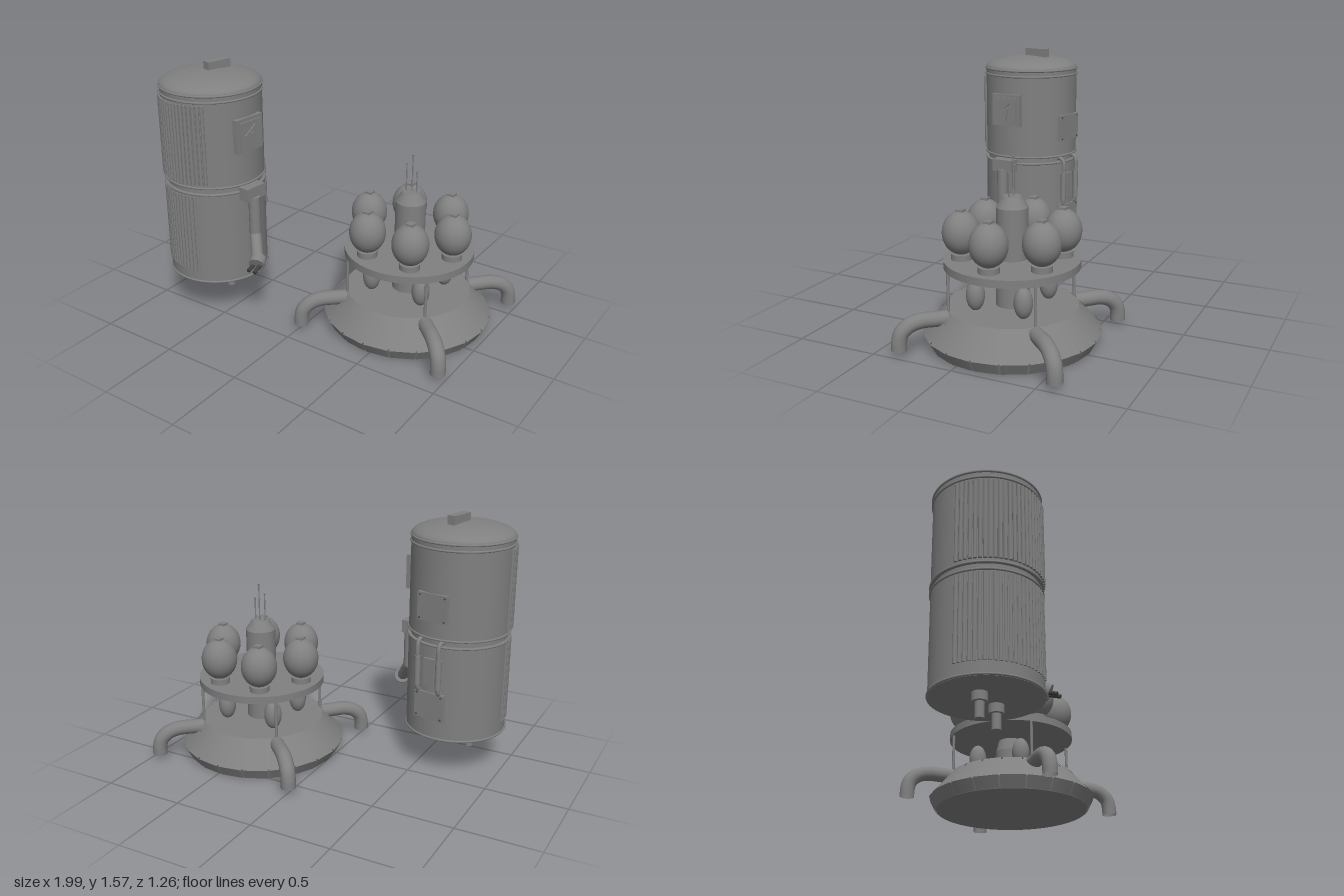
import * as THREE from 'three';

const grey = new THREE.MeshStandardMaterial({ color: 0x808080 });
grey.name = 'grey metal';
const greyOpen = new THREE.MeshStandardMaterial({ color: 0x808080, side: THREE.DoubleSide });
greyOpen.name = 'grey pipe metal';
const dark = new THREE.MeshStandardMaterial({ color: 0x404040 });
dark.name = 'dark metal';

const V = (x, y, z) => new THREE.Vector3(x, y, z);
const rad = THREE.MathUtils.degToRad;

function add(parent, name, geo, pos = [0, 0, 0], mat = grey) {
  const m = new THREE.Mesh(geo, mat);
  m.name = name;
  m.position.set(...pos);
  parent.add(m);
  return m;
}
// Upright cylinder between two heights
const cyl = (p, name, r0, r1, y0, y1, x = 0, z = 0, seg = 32, mat = grey) =>
  add(p, name, new THREE.CylinderGeometry(r1, r0, y1 - y0, seg), [x, (y0 + y1) / 2, z], mat);
const box = (p, name, w, h, d, x, y, z, mat = grey) =>
  add(p, name, new THREE.BoxGeometry(w, h, d), [x, y, z], mat);
// Cylinder between two points
function rod(p, name, a, b, r, mat = grey, seg = 20) {
  const d = b.clone().sub(a);
  const m = add(p, name, new THREE.CylinderGeometry(r, r, d.length(), seg),
    a.clone().add(b).multiplyScalar(0.5).toArray(), mat);
  m.quaternion.setFromUnitVectors(V(0, 1, 0), d.normalize());
  return m;
}
function ring(p, name, r, y, t) {
  add(p, name, new THREE.TorusGeometry(r, t, 8, 64), [0, y, 0]).rotation.x = Math.PI / 2;
}
function pipe(p, name, pts, r) {
  const curve = new THREE.CatmullRomCurve3(pts, false, 'centripetal');
  return add(p, name, new THREE.TubeGeometry(curve, 28, r, 14), [0, 0, 0], greyOpen);
}

function makeTank() {
  const g = new THREE.Group();
  g.name = 'tank';
  g.position.set(-0.68, 0, 0.31);
  cyl(g, 'lowerDrum', 0.305, 0.305, 0.24, 0.84, 0, 0, 64);
  cyl(g, 'waist', 0.292, 0.292, 0.83, 0.89, 0, 0, 64);
  cyl(g, 'upperDrum', 0.305, 0.305, 0.875, 1.45, 0, 0, 64);
  for (const y of [0.248, 0.835, 0.878, 1.408, 1.445]) ring(g, 'rim', 0.306, y, 0.007);

  // Domed lid with handle
  const dome = new THREE.SphereGeometry(0.306, 64, 14, 0, Math.PI * 2, 0, Math.PI / 2);
  dome.scale(1, 0.25, 1);
  add(g, 'lid', dome, [0, 1.448, 0]);
  box(g, 'lidHandle', 0.052, 0.06, 0.158, 0.015, 1.541, -0.05).rotation.y = -0.24;

  // Vertical ribs on the front left of both drums
  const ribs = (from, to, y0, y1, r, dist) => {
    for (let a = from; a <= to; a += 5) {
      cyl(g, 'rib', r, r, y0, y1, Math.sin(rad(a)) * dist, Math.cos(rad(a)) * dist, 10);
    }
  };
  ribs(-94, 31, 0.9, 1.39, 0.011, 0.308);
  ribs(-94, 16, 0.32, 0.82, 0.011, 0.302);

  // Feet
  for (const x of [-0.093, 0.093]) {
    cyl(g, 'footSocket', 0.043, 0.043, 0.19, 0.25, x, 0.01, 20);
    cyl(g, 'foot', 0.026, 0.026, 0.1, 0.2, x, 0.01, 20);
  }

  // Warning sign on the side
  const sign = new THREE.Group();
  sign.name = 'sign';
  sign.rotation.y = Math.atan2(0.31, 0.035);
  sign.position.y = 1.19;
  g.add(sign);
  box(sign, 'signPlate', 0.208, 0.208, 0.05, 0, 0, 0.296);
  box(sign, 'signPanel', 0.165, 0.165, 0.02, 0, 0, 0.32);
  const bolt = new THREE.Shape([[0.033, 0.058], [-0.05, 0], [-0.04, -0.008], [0.01, -0.008],
    [0.008, -0.07], [0.024, 0.008], [-0.015, 0.008], [0.033, 0.045]].map(p => new THREE.Vector2(...p)));
  add(sign, 'lightningBolt', new THREE.ExtrudeGeometry(bolt, { depth: 0.008, bevelEnabled: false }), [0, 0, 0.33]);

  // Access hatches and pipework at the back
  const back = new THREE.Group();
  back.name = 'backFittings';
  back.rotation.y = Math.PI - rad(11);
  g.add(back);
  for (const y of [1.065, 0.455]) {
    box(back, 'hatch', 0.2, 0.17, 0.035, 0, y, 0.297);
    for (const x of [-0.085, 0.085]) for (const dy of [-0.07, 0.07]) {
      add(back, 'hatchScrew', new THREE.SphereGeometry(0.006, 8, 6), [x, y + dy, 0.315], dark);
    }
  }
  for (const x of [-0.08, 0.065]) {
    pipe(back, 'backPipe', [V(x, 0.86, 0.26), V(x, 0.86, 0.305), V(x, 0.84, 0.322),
      V(x, 0.7, 0.322), V(x, 0.57, 0.322), V(x, 0.545, 0.31), V(x, 0.54, 0.28)], 0.013);
    cyl(back, 'pipeSleeve', 0.018, 0.018, 0.58, 0.76, x, 0.322, 14);
  }
  box(back, 'valveBox', 0.07, 0.17, 0.03, -0.005, 0.67, 0.305);
  return g;
}

function makeArm() {
  const g = new THREE.Group();
  g.name = 'arm';
  box(g, 'shoulder', 0.075, 0.08, 0.15, -0.357, 0.825, 0.352).rotation.y = -0.1;
  const elbow = V(-0.335, 0.55, 0.36), wrist = V(-0.25, 0.425, 0.452);
  rod(g, 'upperArm', V(-0.335, 0.8, 0.36), elbow, 0.036);
  add(g, 'elbow', new THREE.SphereGeometry(0.036, 20, 14), elbow.toArray());
  rod(g, 'forearm', elbow, wrist, 0.036);
  const dir = V(0.3, -0.35, 0.75).normalize();
  rod(g, 'wristCollar', wrist.clone().addScaledVector(dir, -0.025), wrist.clone().addScaledVector(dir, 0.03), 0.049);
  for (const dx of [-0.022, 0.022]) {
    const a = V(wrist.x + dx + 0.005, 0.408, 0.465);
    rod(g, 'prong', a, a.clone().add(V(0.006, -0.02, 0.065)), 0.012, dark, 12);
  }
  return g;
}

function makeStation() {
  const g = new THREE.Group();
  g.name = 'station';
  g.position.set(0.477, 0, -0.114);

  // Sloped base: a core covered with separate panels
  cyl(g, 'baseSkirt', 0.472, 0.502, 0, 0.072, 0, 0, 40);
  cyl(g, 'baseCore', 0.5, 0.37, 0.07, 0.216, 0, 0, 40);
  const profile = [[0.48, 0.002], [0.518, 0.072], [0.385, 0.222], [0, 0.222]].map(p => new THREE.Vector2(...p));
  const step = Math.PI / 10, gap = 0.02;
  for (let i = 0; i < 20; i++) {
    for (let k = 0; k < 3; k++) {
      const full = k === 2 ? 0 : gap;
      add(g, 'basePanel', new THREE.LatheGeometry(profile.slice(k, k + 2), 1,
        i * step + full / 2, step - full), [0, 0, 0], greyOpen);
    }
  }

  // Central column
  cyl(g, 'columnFoot', 0.097, 0.097, 0.2, 0.38);
  cyl(g, 'columnTaper', 0.097, 0.075, 0.38, 0.47);
  cyl(g, 'columnTop', 0.092, 0.092, 0.49, 0.8);
  cyl(g, 'columnCap', 0.092, 0.052, 0.8, 0.862);
  for (const [x, z, y] of [[-0.035, 0, 1.03], [0, -0.008, 1.09], [0.035, 0, 0.995]]) {
    cyl(g, 'antenna', 0.004, 0.004, 0.8, y, x, z, 8);
    add(g, 'antennaTip', new THREE.SphereGeometry(0.006, 10, 8), [x, y, z]);
  }

  // Round deck carrying six globes
  cyl(g, 'deck', 0.393, 0.393, 0.455, 0.5, 0, 0, 64);
  const globe = new THREE.SphereGeometry(0.109, 32, 24);
  globe.scale(1, 1.16, 1);
  for (let i = 0; i < 6; i++) {
    const x = Math.cos(i * Math.PI / 3) * 0.289, z = Math.sin(i * Math.PI / 3) * 0.289;
    cyl(g, 'globeBase', 0.06, 0.06, 0.495, 0.535, x, z, 24);
    add(g, 'globe', globe, [x, 0.655, z]);
    box(g, 'globeCap', 0.045, 0.03, 0.045, x, 0.776, z);
  }

  // Posts, inner pods and outlet pipes at the four corners
  const pod = new THREE.SphereGeometry(0.054, 24, 18);
  pod.scale(1, 1.7, 1);
  for (const sx of [-1, 1]) for (const sz of [-1, 1]) {
    cyl(g, 'post', 0.009, 0.009, 0.2, 0.47, sx * 0.27, sz * 0.27, 10);
    add(g, 'pod', pod, [sx * 0.171, 0.307, sz * 0.15]);
    const at = (d, y) => V(sx * d, y, sz * d);
    pipe(g, 'outletPipe', [at(0.275, 0.185), at(0.33, 0.188), at(0.385, 0.188), at(0.43, 0.17),
      at(0.462, 0.13), at(0.472, 0.085), at(0.474, 0.03)], 0.045);
  }
  return g;
}

export function createModel() {
  const model = new THREE.Group();
  model.name = 'tankAndStation';
  model.add(makeTank(), makeArm(), makeStation());
  return model;
}
